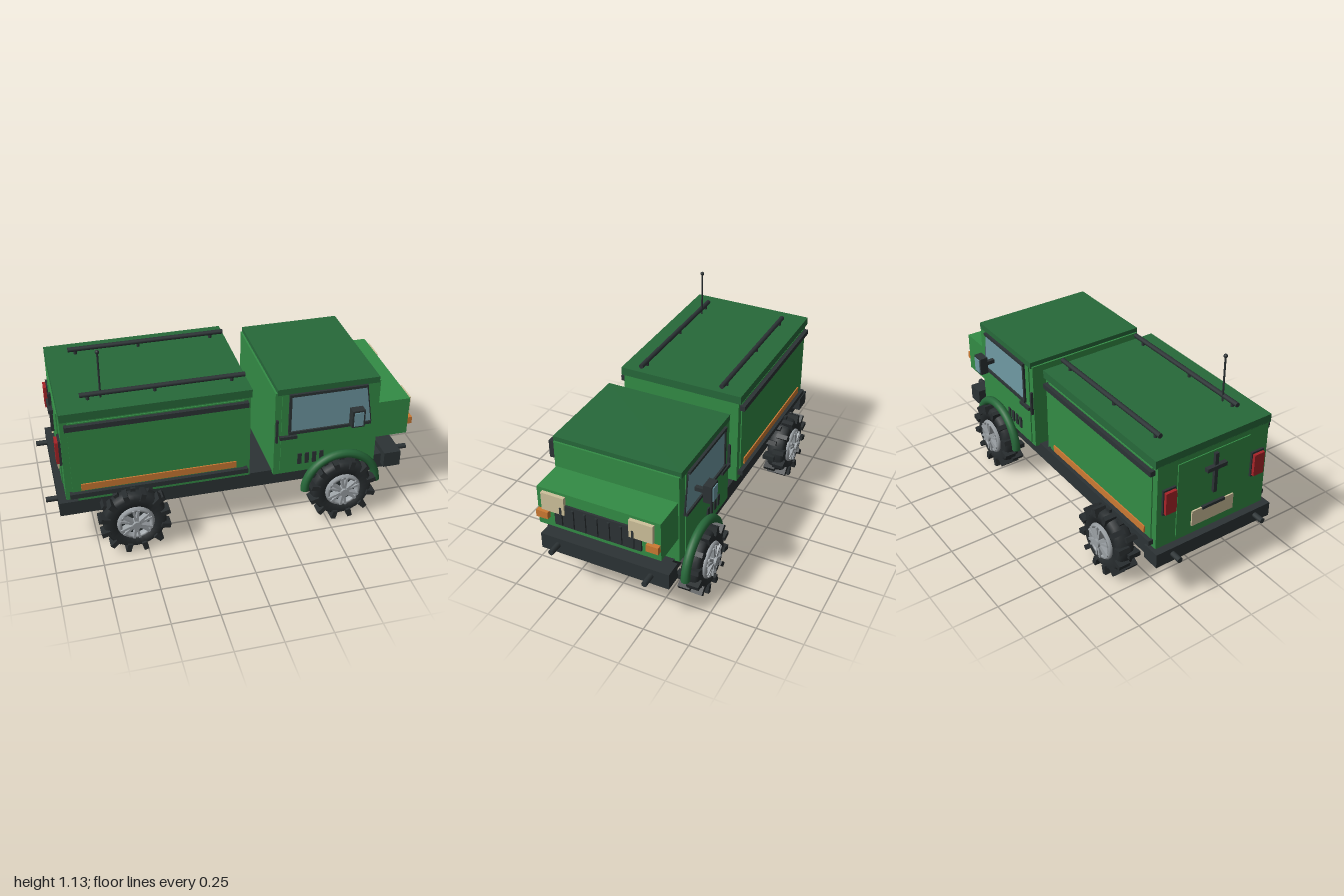
import * as THREE from 'three';

const mat = (name, color, extra = {}) => {
  const m = new THREE.MeshStandardMaterial({ color, ...extra });
  m.name = name;
  return m;
};

export function createModel() {
  const green = mat('body green', 0x338c45);
  const darkGreen = mat('roof green', 0x27693a);
  const dark = mat('dark trim', 0x2c3335);
  const rubber = mat('tyre rubber', 0x272c2e);
  const metal = mat('wheel metal', 0x9aa0a4);
  const glass = mat('window glass', 0x6f9aa4);
  const orange = mat('signal orange', 0xcc7a33);
  const cream = mat('lamp cream', 0xcec19b);
  const red = mat('tail red', 0xa82428);

  const truck = new THREE.Group();
  truck.name = 'truck';

  const add = (name, geo, material, parent = truck) => {
    const m = new THREE.Mesh(geo, material);
    m.name = name;
    parent.add(m);
    return m;
  };
  // box given by its limits on each axis
  const box = (name, material, x0, x1, y0, y1, z0, z1, parent = truck) => {
    const m = add(name, new THREE.BoxGeometry(x1 - x0, y1 - y0, z1 - z0), material, parent);
    m.position.set((x0 + x1) / 2, (y0 + y1) / 2, (z0 + z1) / 2);
    return m;
  };
  // the same box on both flanks
  const pair = (name, material, x0, x1, y0, y1, z0, z1) => {
    box(name + 'Left', material, x0, x1, y0, y1, z0, z1);
    box(name + 'Right', material, x0, x1, y0, y1, -z1, -z0);
  };
  const rod = (name, material, r, a, b, sides = 10, parent = truck) => {
    const p = new THREE.Vector3(...a), q = new THREE.Vector3(...b);
    const m = add(name, new THREE.CylinderGeometry(r, r, p.distanceTo(q), sides), material, parent);
    m.position.copy(p).add(q).multiplyScalar(0.5);
    m.quaternion.setFromUnitVectors(new THREE.Vector3(0, 1, 0), q.sub(p).normalize());
    return m;
  };

  // chassis and bumpers
  box('chassis', dark, -0.9, 0.86, 0.22, 0.31, -0.315, 0.315);
  box('frontBumper', dark, 0.835, 0.93, 0.25, 0.34, -0.36, 0.36);
  box('rearBumper', dark, -0.94, -0.84, 0.255, 0.335, -0.36, 0.36);
  for (const z of [-0.262, 0.262]) {
    rod('frontTowPin', dark, 0.015, [0.9, 0.3, z], [1, 0.3, z]);
    rod('rearTowPin', dark, 0.015, [-0.9, 0.3, z], [-1, 0.3, z]);
  }

  // cargo box
  box('cargoBox', green, -0.9, 0.075, 0.32, 0.82, -0.337, 0.337);
  box('cargoRoof', darkGreen, -0.9, 0.08, 0.815, 0.86, -0.35, 0.35);
  pair('cargoPanel', green, -0.865, 0.04, 0.34, 0.8, 0.337, 0.343);
  pair('upperRail', dark, -0.88, 0.06, 0.765, 0.793, 0.337, 0.365);
  pair('lowerRail', dark, -0.88, 0.06, 0.355, 0.382, 0.337, 0.365);
  pair('orangeStripe', orange, -0.82, 0, 0.39, 0.428, 0.343, 0.35);

  // roof rails and aerial
  for (const z of [-0.235, 0.235]) {
    rod('roofRail', dark, 0.013, [-0.78, 0.888, z], [0.07, 0.888, z]);
    for (const x of [-0.74, -0.4, 0]) rod('railPost', dark, 0.009, [x, 0.855, z], [x, 0.885, z]);
  }
  rod('aerial', dark, 0.005, [-0.675, 0.855, 0.228], [-0.675, 1.115, 0.228], 8);
  add('aerialTip', new THREE.SphereGeometry(0.011, 12, 8), dark).position.set(-0.675, 1.117, 0.228);

  // rear door, lamps and plate
  box('rearDoor', green, -0.906, -0.9, 0.36, 0.79, -0.22, 0.22);
  for (const z of [-0.272, 0.272]) {
    box('tailLampFrame', dark, -0.912, -0.9, 0.535, 0.68, z - 0.038, z + 0.038);
    box('tailLamp', red, -0.928, -0.9, 0.545, 0.67, z - 0.032, z + 0.032);
  }
  box('doorBar', dark, -0.922, -0.906, 0.55, 0.78, -0.01, 0.01);
  box('doorHandle', dark, -0.93, -0.906, 0.69, 0.712, -0.06, 0.06);
  box('plate', cream, -0.914, -0.906, 0.39, 0.48, -0.13, 0.13);
  box('plateBar', dark, -0.92, -0.906, 0.47, 0.486, -0.07, 0.07);

  // cab and bonnet
  box('cab', green, 0.205, 0.78, 0.3, 0.81, -0.343, 0.343);
  box('cabRoof', darkGreen, 0.215, 0.77, 0.8, 0.835, -0.35, 0.35);
  box('bonnet', green, 0.77, 0.96, 0.445, 0.665, -0.337, 0.337);
  pair('door', green, 0.24, 0.72, 0.31, 0.8, 0.343, 0.349);
  pair('doorHinge', dark, 0.21, 0.222, 0.51, 0.65, 0.343, 0.357);
  pair('cabHandle', dark, 0.23, 0.325, 0.53, 0.548, 0.345, 0.366);
  for (let i = 0; i < 4; i++) {
    const x = 0.336 + i * 0.041;
    pair('sideVent', dark, x, x + 0.022, 0.355, 0.42, 0.345, 0.356);
  }

  // side windows with frames
  const pane = new THREE.Shape([[0.285, 0.57], [0.735, 0.57], [0.7, 0.79], [0.285, 0.79]]
    .map(([x, y]) => new THREE.Vector2(x, y)));
  for (const s of [1, -1]) {
    const w = add('sideWindow', new THREE.ExtrudeGeometry(pane, { depth: 0.008, bevelEnabled: false }), glass);
    w.position.z = s > 0 ? 0.346 : -0.354;
  }
  pair('windowTop', dark, 0.277, 0.705, 0.787, 0.802, 0.343, 0.364);
  pair('windowSill', dark, 0.277, 0.735, 0.557, 0.573, 0.343, 0.364);
  pair('windowPost', dark, 0.277, 0.291, 0.56, 0.8, 0.343, 0.36);
  for (const s of [1, -1]) {
    const p = rod('windowPillar', dark, 0.005, [0.737, 0.567, s * 0.35], [0.702, 0.795, s * 0.35], 6);
    p.name = s > 0 ? 'windowPillarLeft' : 'windowPillarRight';
  }

  // mirrors
  pair('mirrorArm', dark, 0.615, 0.637, 0.645, 0.667, 0.345, 0.415);
  pair('mirror', dark, 0.59, 0.66, 0.61, 0.71, 0.41, 0.455);
  pair('mirrorGlass', glass, 0.6, 0.65, 0.62, 0.7, 0.455, 0.46);

  // grille and front lamps
  box('grille', dark, 0.95, 0.972, 0.475, 0.603, -0.237, 0.237);
  for (let i = -3; i <= 3; i++) {
    const z = i * 0.0655;
    box('grilleBar', dark, 0.97, 0.982, 0.485, 0.592, z - 0.006, z + 0.006);
  }
  for (const s of [1, -1]) {
    const z = s * 0.24, t = s * 0.302;
    box('headlamp', cream, 0.95, 0.98, 0.55, 0.65, z - 0.064, z + 0.064);
    box('turnSignal', orange, 0.955, 0.986, 0.5, 0.54, t - 0.033, t + 0.033);
  }

  // front wheel arches
  for (const s of [1, -1]) {
    const arch = add('wheelArch', new THREE.TorusGeometry(0.203, 0.024, 10, 28, Math.PI), darkGreen);
    arch.position.set(0.58, 0.192, s * 0.376);
    for (const x of [-0.203, 0.203]) {
      const end = add('archEnd', new THREE.CircleGeometry(0.024, 10), darkGreen);
      end.rotation.x = Math.PI / 2;
      end.position.set(0.58 + x, 0.192, s * 0.376);
    }
  }

  // wheels, built with the outer side on +z
  const tyreProfile = [[0.095, -0.045], [0.15, -0.05], [0.165, -0.035], [0.171, 0],
    [0.165, 0.035], [0.15, 0.05], [0.095, 0.045], [0.09, 0], [0.095, -0.045]]
    .map(([r, y]) => new THREE.Vector2(r, y));
  const rimProfile = [[0.07, -0.07], [0.092, -0.07], [0.1, -0.04], [0.1, 0.05],
    [0.092, 0.062], [0.078, 0.062], [0.074, 0.03], [0.07, -0.07]]
    .map(([r, y]) => new THREE.Vector2(r, y));
  const makeWheel = () => {
    const wheel = new THREE.Group();
    add('tyre', new THREE.LatheGeometry(tyreProfile, 32), rubber, wheel).rotation.x = Math.PI / 2;
    add('rim', new THREE.LatheGeometry(rimProfile, 24), metal, wheel).rotation.x = Math.PI / 2;
    rod('hubDisc', dark, 0.078, [0, 0, -0.03], [0, 0, 0.035], 20, wheel);
    rod('hub', metal, 0.024, [0, 0, 0.03], [0, 0, 0.083], 12, wheel);
    // six forked spokes
    for (let i = 0; i < 6; i++) {
      const a = i * Math.PI / 3 + Math.PI / 6;
      for (const d of [-0.16, 0.16]) {
        const spoke = new THREE.Group();
        box('spoke', metal, 0.012, 0.09, -0.006, 0.006, 0.035, 0.07, spoke);
        spoke.rotation.z = a + d;
        wheel.add(spoke);
      }
    }
    // staggered tread lugs
    for (let i = 0; i < 24; i++) {
      const lug = new THREE.Group();
      const s = i % 2 ? 1 : -1;
      box('lug', rubber, 0.14, 0.188, -0.013, 0.013, s > 0 ? -0.005 : -0.062, s > 0 ? 0.062 : 0.005, lug);
      lug.rotation.z = i * Math.PI / 12 + Math.PI / 2;
      wheel.add(lug);
    }
    return wheel;
  };
  for (const [end, x] of [['front', 0.58], ['rear', -0.56]]) {
    for (const s of [1, -1]) {
      const wheel = makeWheel();
      wheel.name = end + (s > 0 ? 'WheelLeft' : 'WheelRight');
      wheel.position.set(x, 0.189, s * 0.375);
      if (s < 0) wheel.rotation.y = Math.PI;
      truck.add(wheel);
    }
    rod(end + 'Axle', dark, 0.03, [x, 0.19, -0.34], [x, 0.19, 0.34], 12);
  }

  return truck;
}
